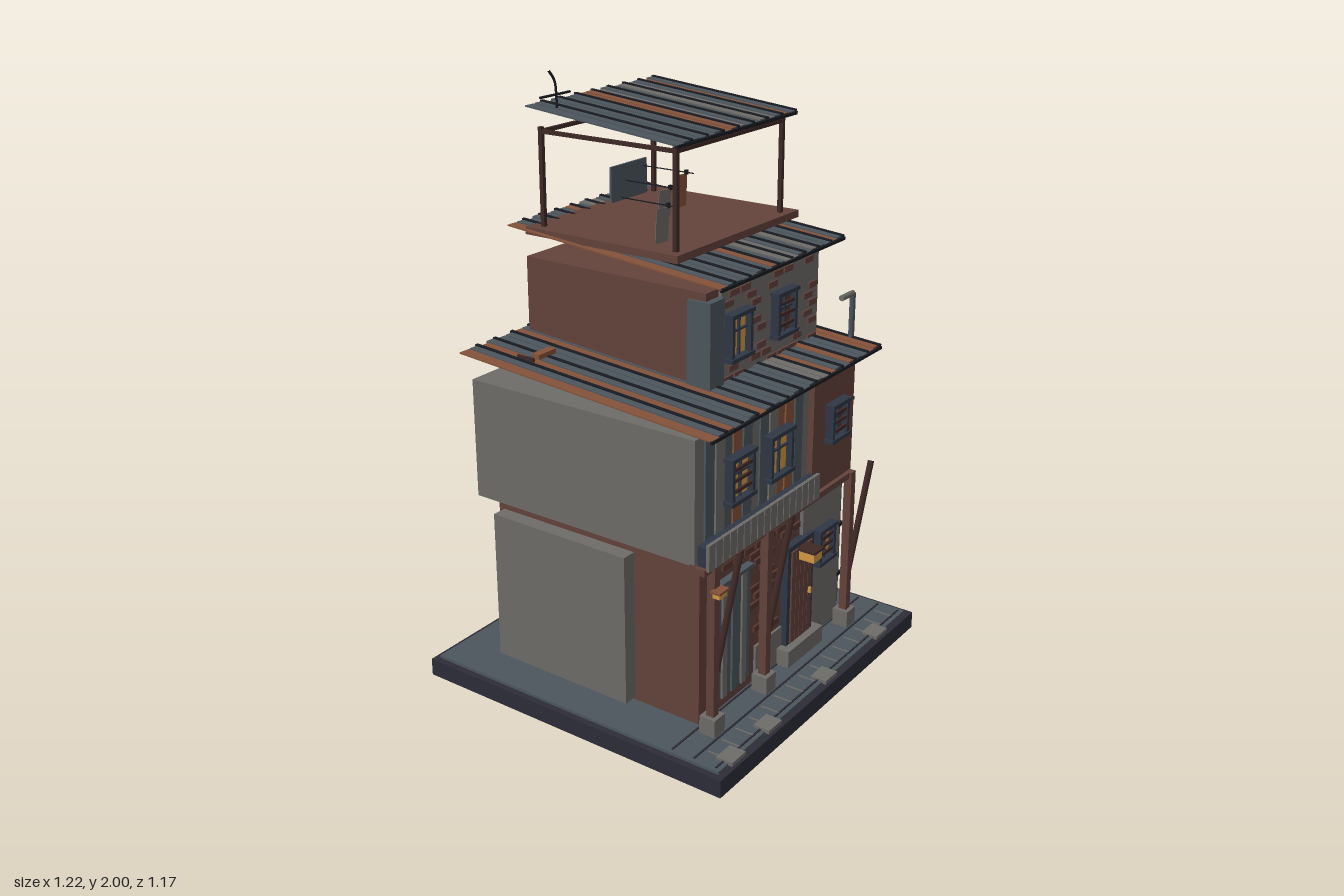
import * as THREE from 'three';
import { mergeGeometries } from 'three/addons/utils/BufferGeometryUtils.js';

const mat = (name, color) => {
  const m = new THREE.MeshStandardMaterial({ color });
  m.name = name;
  return m;
};

export function createModel() {
  const M = {
    plaster: mat('plaster', 0x6e6c69), brick: mat('brick', 0x64433c), darkBrick: mat('dark brick', 0x57362f),
    slate: mat('slate', 0x4c565d), rust: mat('rust', 0x85533a), base: mat('base edge', 0x2d2c38),
    amber: mat('amber light', 0xd39a45), wood: mat('dark wood', 0x3f2926), black: mat('black metal', 0x191c22),
    frame: mat('window frame', 0x2f3746),
  };
  const CODE = { g: M.plaster, s: M.slate, r: M.rust, b: M.brick };
  const model = new THREE.Group();
  let seed = 11;
  const rnd = () => (seed = (seed * 16807) % 2147483647) / 2147483647;

  // Box given by its lower and upper limits
  const box = (name, m, x0, x1, y0, y1, z0, z1, parent = model) => {
    const mesh = new THREE.Mesh(new THREE.BoxGeometry(x1 - x0, y1 - y0, z1 - z0), m);
    mesh.position.set((x0 + x1) / 2, (y0 + y1) / 2, (z0 + z1) / 2);
    mesh.name = name;
    parent.add(mesh);
    return mesh;
  };
  // Round or square bar between two points
  const bar = (name, m, a, b, r, sides = 8) => {
    const p = new THREE.Vector3(...a), q = new THREE.Vector3(...b), d = q.clone().sub(p);
    const mesh = new THREE.Mesh(new THREE.CylinderGeometry(r, r, d.length(), sides), m);
    mesh.position.copy(p).add(q).multiplyScalar(0.5);
    mesh.quaternion.setFromUnitVectors(new THREE.Vector3(0, 1, 0), d.normalize());
    mesh.name = name;
    model.add(mesh);
  };
  // Scattered bricks on a wall; side walls use u = -z
  const bricks = (name, m, u0, u1, v0, v1, at, side, density, holes = []) => {
    const list = [], w = 0.052, h = 0.02;
    let row = 0;
    for (let v = v0 + 0.015; v < v1 - 0.01; v += 0.03, row++) {
      for (let u = u0 + (row % 2 ? 0.06 : 0.03); u < u1 - 0.025; u += 0.062) {
        if (rnd() > density || holes.some(([cu, cv, a, b]) => Math.abs(u - cu) < a && Math.abs(v - cv) < b)) continue;
        list.push(new THREE.BoxGeometry(w, h, 0.012).translate(u, v, 0));
      }
    }
    const mesh = new THREE.Mesh(mergeGeometries(list), m);
    mesh.name = name;
    if (side) { mesh.rotation.y = Math.PI / 2; mesh.position.x = at; } else mesh.position.z = at;
    model.add(mesh);
  };
  // Framed window facing +z, or +x when side is true
  const windowUnit = (name, x, y, z, w, h, lit, bars, side = false) => {
    const g = new THREE.Group(), a = w / 2, b = h / 2, t = 0.013;
    g.name = name;
    box('pane', lit ? M.amber : M.darkBrick, -a, a, -b, b, 0, 0.009, g);
    for (const s of [-1, 1]) {
      box('jamb', M.frame, s * a - t / 2, s * a + t / 2, -b, b, 0, 0.03, g);
      box('rail', M.frame, -a - t, a + t, s * b - t / 2, s * b + t / 2, 0, 0.034, g);
    }
    box('mullion', M.frame, -0.003, 0.003, -b, b, 0, 0.018, g);
    box('transom', M.frame, -a, a, b * 0.2, b * 0.2 + 0.006, 0, 0.018, g);
    if (bars) for (const k of [-0.5, 0, 0.5]) box('bar', M.wood, -a, a, k * b - 0.005, k * b + 0.005, 0.02, 0.027, g);
    g.position.set(x, y, z);
    if (side) g.rotation.y = Math.PI / 2;
    model.add(g);
  };
  // Sloping sheet roof with coloured strips and dark ribs
  const roof = (name, x0, x1, zF, yF, zB, yB, pattern) => {
    const g = new THREE.Group(), len = Math.hypot(zF - zB, yB - yF), p = (x1 - x0) / pattern.length;
    g.name = name;
    [...pattern].forEach((c, i) => {
      const x = x0 + i * p, e = len / 2 - (i % 3) * 0.004;
      box('sheet', CODE[c], x, x + p, -0.002, 0.002 + (i % 2) * 0.003, -e, e, g);
      if (i % 2) box('rib', M.black, x + p - 0.012, x + p, -0.004, 0.009, -len / 2, len / 2, g);
    });
    box('front lip', M.black, x0, x1, -0.008, 0.002, len / 2 - 0.004, len / 2 + 0.004, g);
    g.position.set(0, (yF + yB) / 2, (zF + zB) / 2);
    g.rotation.x = Math.atan2(yB - yF, zF - zB);
    model.add(g);
  };

  // Ground and pavement
  box('base', M.base, -0.61, 0.61, 0, 0.06, -0.585, 0.585);
  box('ground', M.slate, -0.588, 0.588, 0.06, 0.07, -0.565, 0.563);
  for (const z of [0.385, 0.465, 0.545]) box('paving joint', M.base, -0.575, 0.575, 0.069, 0.073, z - 0.003, z + 0.003);
  for (let i = 0; i < 15; i++) {
    const x = -0.52 + i * 0.0745;
    box('paving seam', M.plaster, x - 0.002, x + 0.002, 0.069, 0.073, 0.48, 0.545);
  }
  for (const x of [-0.5, -0.295, 0.05, 0.395]) box('pavingStone', M.plaster, x - 0.037, x + 0.037, 0.065, 0.078, 0.52, 0.578);

  // Ground floor
  box('ground floor', M.brick, -0.42, 0.395, 0.07, 0.625, -0.42, 0.375);
  box('left plaster panel', M.plaster, -0.47, -0.42, 0.08, 0.595, -0.4, 0.13);
  box('right plaster panel', M.plaster, 0.395, 0.412, 0.07, 0.625, -0.15, 0.385);
  box('front plaster panel', M.plaster, 0.16, 0.4, 0.07, 0.62, 0.375, 0.388);
  box('low plaster patch', M.plaster, -0.11, 0.05, 0.07, 0.2, 0.375, 0.384);
  bricks('ground floor bricks', M.darkBrick, -0.4, 0.16, 0.1, 0.61, 0.377, false, 0.8, [[-0.255, 0.31, 0.12, 0.23], [0.13, 0.3, 0.11, 0.21], [-0.03, 0.1, 0.1, 0.11]]);
  [...'sgsssgs'].forEach((c, i) => box('shutter slat', CODE[c], -0.35 + i * 0.027, -0.325 + i * 0.027, 0.12, 0.515, 0.375, 0.392 + (i % 2) * 0.006));
  box('shutter lintel', M.slate, -0.36, -0.155, 0.515, 0.527, 0.375, 0.4);
  windowUnit('ground window', 0.285, 0.415, 0.385, 0.09, 0.12, true, true);

  // Door with lamp and step
  box('doorFrame', M.frame, 0.048, 0.21, 0.12, 0.49, 0.375, 0.402);
  for (let i = 0; i < 5; i++) box('door plank', M.brick, 0.066 + i * 0.0255, 0.0895 + i * 0.0255, 0.135, 0.472, 0.4, 0.408);
  box('door handle', M.amber, 0.17, 0.178, 0.28, 0.3, 0.408, 0.418);
  box('door lamp', M.amber, 0.105, 0.155, 0.432, 0.465, 0.408, 0.465);
  box('door lamp cap', M.wood, 0.1, 0.16, 0.465, 0.473, 0.4, 0.47);
  box('doorstep', M.plaster, 0.02, 0.24, 0.07, 0.13, 0.375, 0.43);

  // Posts, braces and beam carrying the upper floor
  for (const x of [-0.425, -0.13, 0.39]) {
    box('post', M.brick, x - 0.014, x + 0.014, 0.07, 0.65, 0.415, 0.443);
    box('post foot', M.plaster, x - 0.028, x + 0.028, 0.07, 0.13, 0.4, 0.457);
    bar('brace', M.wood, [x + 0.015, 0.27, 0.43], [x + 0.145, 0.635, 0.43], 0.012, 6);
  }
  box('front beam', M.brick, -0.48, 0.4, 0.628, 0.65, 0.4, 0.435);
  box('post lamp', M.amber, -0.45, -0.41, 0.55, 0.566, 0.442, 0.468);
  box('post lamp cap', M.rust, -0.455, -0.405, 0.566, 0.574, 0.438, 0.472);

  // Meter box on the right wall
  box('meter box', M.frame, 0.39, 0.422, 0.19, 0.325, -0.22, -0.155);
  box('meter door', M.brick, 0.42, 0.427, 0.2, 0.315, -0.212, -0.163);
  for (const y of [0.235, 0.285]) box('meter board', M.rust, 0.41, 0.435, y - 0.01, y + 0.01, -0.21, -0.13);
  for (const y of [0.215, 0.275]) box('wall vent', M.black, 0.39, 0.402, y - 0.02, y + 0.02, -0.335, -0.322);

  // Middle floor
  box('middle floor', M.plaster, -0.485, 0.405, 0.655, 1.055, -0.45, 0.385);
  [...'gsgsrsgsgrrsg'].forEach((c, i) => {
    const x = -0.485 + i * 0.0488;
    box('wall plank', CODE[c], x, x + 0.046, 0.66, 1.055, 0.385, 0.402 + (i % 3) * 0.004);
  });
  box('brick corner', M.brick, 0.15, 0.408, 0.65, 1.055, 0.385, 0.42);
  for (let i = 0; i < 17; i++) box('balcony slat', M.plaster, -0.482 + i * 0.0373, -0.449 + i * 0.0373, 0.65, 0.735, 0.44, 0.452);
  box('balcony rail', M.frame, -0.482, 0.15, 0.66, 0.725, 0.41, 0.441);
  windowUnit('middle window', -0.282, 0.878, 0.41, 0.11, 0.14, true, true);
  windowUnit('middle window', -0.065, 0.875, 0.41, 0.115, 0.14, true, false);
  windowUnit('middle window', 0.278, 0.875, 0.42, 0.09, 0.12, false, true);
  const sideZ = [0.25, 0.05, -0.16, -0.365];
  bricks('middle side bricks', M.brick, -0.38, 0.45, 0.665, 1.05, 0.405, true, 0.7, sideZ.map(z => [-z, 0.855, 0.075, 0.08]));
  sideZ.forEach((z, i) => windowUnit('middle side window', 0.405, 0.855, z, 0.08, 0.12, true, i === 2, true));

  // Top floor
  box('top floor', M.brick, -0.23, 0.4, 1.055, 1.4, -0.43, 0.262);
  box('top plaster front', M.plaster, -0.165, 0.402, 1.07, 1.39, 0.262, 0.272);
  box('slate corner', M.slate, -0.24, -0.165, 1.07, 1.375, 0.2, 0.285);
  bricks('top front bricks', M.brick, -0.16, 0.4, 1.09, 1.39, 0.272, false, 0.6, [[-0.088, 1.24, 0.09, 0.095], [0.172, 1.24, 0.09, 0.095]]);
  bricks('top side bricks', M.darkBrick, -0.26, 0.42, 1.07, 1.39, 0.4, true, 0.8, [[-0.125, 1.235, 0.08, 0.09], [0.18, 1.235, 0.08, 0.09]]);
  windowUnit('top window', -0.088, 1.24, 0.272, 0.1, 0.14, true, false);
  windowUnit('top window', 0.172, 1.242, 0.272, 0.1, 0.14, false, true);
  windowUnit('top side window', 0.4, 1.235, 0.125, 0.09, 0.13, true, true, true);
  windowUnit('top side window', 0.4, 1.235, -0.18, 0.09, 0.13, true, false, true);

  // Sheet roofs and terrace
  roof('lower roof', -0.525, 0.46, 0.485, 1.085, -0.46, 1.152, 'rsrsssrsssssssggrssrssrr');
  roof('middle roof', -0.275, 0.437, 0.345, 1.437, -0.465, 1.505, 'rssssssrsggssgssrs');
  roof('upper roof', -0.258, 0.4, 0.175, 1.83, -0.39, 1.885, 'ssssssrrgssggsrs');
  box('terrace', M.brick, -0.26, 0.42, 1.483, 1.507, -0.405, 0.18);
  for (const x of [-0.222, 0.357]) {
    for (const z of [0.148, -0.36]) box('canopy post', M.wood, x - 0.007, x + 0.007, 1.5, 1.82, z - 0.007, z + 0.007);
    box('canopy side beam', M.wood, x - 0.006, x + 0.006, 1.8, 1.812, -0.365, 0.155);
  }
  for (const z of [0.148, -0.36]) box('canopy cross beam', M.wood, -0.222, 0.357, 1.8, 1.812, z - 0.006, z + 0.006);
  box('terrace screen', M.slate, 0.125, 0.32, 1.51, 1.63, -0.37, -0.362);

  // Washing lines
  [[-0.17, 0.06, 'g', 0.105], [0.022, -0.07, 'g', 0.085], [0.228, -0.155, 'r', 0.115]].forEach(([x, z, c, h], i) => {
    bar('washing line', M.black, [x + 0.03, 1.617, z + 0.03], [x + 0.03, 1.617, z - 0.175], 0.002, 5);
    const cloth = box('cloth', CODE[c], x - 0.032, x + 0.032, 1.615 - h, 1.615, z - 0.001, z + 0.001);
    cloth.rotation.z = -0.06;
    box('peg', M.black, x + 0.025, x + 0.036, 1.61, 1.625, z - 0.005, z + 0.005);
  });

  // Aerial
  const curve = new THREE.CatmullRomCurve3([[-0.21, 1.86, -0.305], [-0.21, 1.92, -0.305], [-0.217, 1.965, -0.305], [-0.243, 1.998, -0.305]].map(p => new THREE.Vector3(...p)));
  const aerial = new THREE.Mesh(new THREE.TubeGeometry(curve, 12, 0.004, 6), M.black);
  aerial.name = 'aerial';
  model.add(aerial);
  bar('aerial arm', M.black, [-0.285, 1.922, -0.305], [-0.145, 1.922, -0.305], 0.004, 6);

  // Scrap on the lower roof
  box('roof scrap', M.rust, -0.41, -0.33, 1.142, 1.158, -0.265, -0.235);
  box('roof scrap rod', M.wood, -0.438, -0.431, 1.142, 1.155, -0.3, -0.235);

  // Drainpipe
  const pipe = [[0.38, 1.25], [0.455, 1.25], [0.455, 0.755], [0.415, 0.755], [0.415, 0.13]];
  for (let i = 0; i < 4; i++) bar('drainpipe', i ? M.slate : M.plaster, [...pipe[i], 0.375], [...pipe[i + 1], 0.375], 0.01, 10);
  for (const [x, y] of [[0.455, 1.07], [0.455, 0.88], [0.415, 0.43], [0.415, 0.24]]) box('pipe clamp', M.black, x - 0.015, x + 0.015, y - 0.006, y + 0.006, 0.36, 0.39);

  return model;
}
